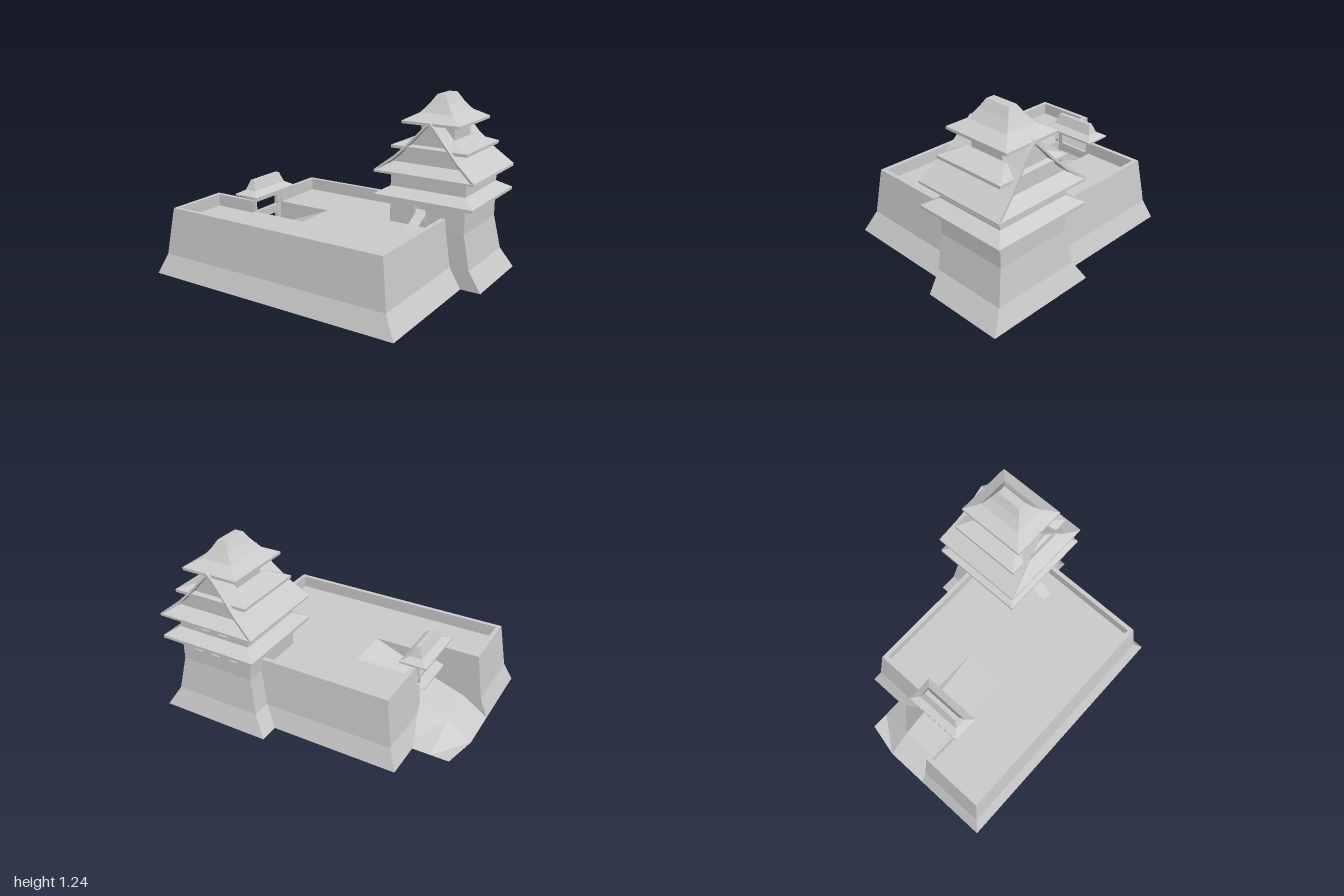
import * as THREE from 'three';

const material = new THREE.MeshStandardMaterial({ color: 0xcccccc, flatShading: true, side: THREE.DoubleSide });

function add(parent, name, geometry) {
  const mesh = new THREE.Mesh(geometry, material);
  mesh.name = name;
  parent.add(mesh);
  return mesh;
}

// Skin a surface across rows of [x, y, z] points
function loft(rows) {
  const n = rows[0].length, index = [];
  for (let r = 0; r < rows.length - 1; r++) {
    for (let i = 0; i < n - 1; i++) {
      const a = r * n + i, b = a + 1, c = a + n, d = c + 1;
      index.push(a, b, d, a, d, c);
    }
  }
  const g = new THREE.BufferGeometry();
  g.setAttribute('position', new THREE.Float32BufferAttribute(rows.flat(2), 3));
  g.setIndex(index);
  g.computeVertexNormals();
  return g;
}

// Stacked rectangles [halfX, halfZ, y, shiftZ] around a centre
function tiers(levels, cx, cz) {
  return loft(levels.map(([hx, hz, y, dz = 0]) =>
    [[1, 1], [1, -1], [-1, -1], [-1, 1], [1, 1]].map(([sx, sz]) => [cx + sx * hx, y, cz + dz + sz * hz])));
}

function box(parent, name, x0, x1, y0, y1, z0, z1) {
  const g = new THREE.BoxGeometry(x1 - x0, y1 - y0, z1 - z0);
  return add(parent, name, g.translate((x0 + x1) / 2, (y0 + y1) / 2, (z0 + z1) / 2));
}

function rectPath(path, x0, x1, y0, y1) {
  path.moveTo(x0, y0);
  path.lineTo(x1, y0);
  path.lineTo(x1, y1);
  path.lineTo(x0, y1);
  path.closePath();
  return path;
}

// Wall facing z with rectangular openings [x0, x1, y0, y1]
function piercedWall(parent, name, x0, x1, y0, y1, z, thick, openings) {
  const shape = rectPath(new THREE.Shape(), x0, x1, y0, y1);
  openings.forEach(o => shape.holes.push(rectPath(new THREE.Path(), ...o)));
  const g = new THREE.ExtrudeGeometry(shape, { depth: thick, bevelEnabled: false });
  add(parent, name, g.translate(0, 0, z));
}

function buildRampart(root) {
  const g = new THREE.Group();
  g.name = 'rampart';
  root.add(g);
  const at = (y, pts) => pts.map(([x, z]) => [x, y, z]);
  const inner = [[-0.56, 0.23], [-0.87, 0.23], [-0.87, 0.62], [0.705, 0.62], [0.705, -0.49], [-0.56, -0.49], [-0.56, -0.1]];
  // Battered stone wall, parapet top and parapet inside
  add(g, 'stoneWall', loft([
    at(0, [[-0.56, 0.2], [-1, 0.2], [-1, 0.735], [0.86, 0.735], [0.86, -0.6], [-0.69, -0.6], [-0.69, -0.1]]),
    at(0.14, [[-0.56, 0.2], [-0.945, 0.2], [-0.945, 0.685], [0.78, 0.685], [0.78, -0.555], [-0.635, -0.555], [-0.635, -0.1]]),
    at(0.465, [[-0.56, 0.2], [-0.9, 0.2], [-0.9, 0.65], [0.735, 0.65], [0.735, -0.52], [-0.59, -0.52], [-0.59, -0.1]]),
    at(0.465, inner),
    at(0.38, inner),
  ]));
  // Courtyard floor, notched for the ramp
  const floor = [[-0.56, 0.2], ...inner, [-0.15, -0.1], [-0.15, 0.2]];
  const shape = new THREE.Shape(floor.map(([x, z]) => new THREE.Vector2(x, -z)));
  add(g, 'courtyard', new THREE.ShapeGeometry(shape).rotateX(-Math.PI / 2).translate(0, 0.38, 0));

  // Entrance ramp with a flared side
  const slope = [[-1, 0], [-0.83, 0.12], [-0.6, 0.2], [-0.15, 0.38]];
  const row = z => slope.map(([x, y]) => [x, y, z]);
  add(g, 'ramp', loft([row(0.2), row(-0.1)]));
  add(g, 'rampFlare', loft([row(-0.1).slice(0, 3), at(0, [[-0.945, -0.34], [-0.82, -0.34], [-0.62, -0.34]])]));
  for (const z of [0.2, -0.1]) {
    add(g, 'rampSideWall', loft([
      [[-0.62, 0.19, z], [-0.15, 0.38, z]],
      [[-0.62, 0.38, z], [-0.15, 0.38, z]],
    ]));
  }
}

function buildGate(root) {
  const g = new THREE.Group();
  g.name = 'gate';
  root.add(g);
  const cx = -0.585, cz = 0.055;
  for (const z of [-0.1, 0.17]) box(g, 'gatePost', cx - 0.015, cx + 0.015, 0.17, 0.5, z, z + 0.035);
  box(g, 'gateLintel', cx - 0.012, cx + 0.012, 0.44, 0.5, -0.11, 0.22);
  box(g, 'gateBeam', cx - 0.012, cx + 0.012, 0.31, 0.37, -0.1, 0.2);
  // Small pent roof over the doorway
  add(g, 'pentRoof', loft([[-0.12, 0.2], [0.22, 0.2]].map(([z]) => [
    [-0.57, 0.31, z], [-0.66, 0.31, z], [-0.66, 0.322, z], [-0.57, 0.355, z], [-0.57, 0.31, z]])));
  add(g, 'gateRoof', tiers([[0, 0, 0.495], [0.095, 0.215, 0.495], [0.095, 0.215, 0.507],
    [0.042, 0.165, 0.535], [0.015, 0.14, 0.605], [0, 0, 0.605]], cx, cz));
}

function buildKeep(root) {
  const g = new THREE.Group();
  g.name = 'keep';
  root.add(g);
  const cx = 0.6, cz = -0.4;

  // Flared stone base, nearly upright toward the courtyard
  add(g, 'keepBase', tiers([[0.4, 0.29, 0, -0.045], [0.315, 0.268, 0.14, -0.018],
    [0.27, 0.255, 0.38], [0, 0, 0.38]], cx, cz));

  // Two hollow storeys with door and rear windows
  const t = 0.02, back = cz - 0.255, front = cz + 0.255 - t;
  const windows = (xs, y0, y1) => xs.map(x => [x - 0.033, x + 0.033, y0, y1]);
  const storey = (y0, y1, frontHoles, backHoles) => {
    piercedWall(g, 'frontWall', 0.33, 0.87, y0, y1, front, t, frontHoles);
    piercedWall(g, 'backWall', 0.33, 0.87, y0, y1, back, t, backHoles);
    for (const x of [0.33, 0.87 - t]) box(g, 'sideWall', x, x + t, y0, y1, back + t, front);
  };
  storey(0.38, 0.58, [[0.513, 0.595, 0.4, 0.525]], windows([0.46, 0.6, 0.74], 0.48, 0.53));
  storey(0.62, 0.75, [], windows([0.53, 0.67], 0.655, 0.705));

  // Steps up to the door
  add(g, 'doorRamp', loft([0.515, 0.592].map(x => [
    [x, 0.38, 0.01], [x, 0.46, -0.145], [x, 0.38, -0.145], [x, 0.38, 0.01]])));

  // Skirt roofs
  add(g, 'firstEave', tiers([[0.25, 0.235, 0.56], [0.355, 0.338, 0.56], [0.355, 0.338, 0.58], [0.27, 0.255, 0.63], [0, 0, 0.63]], cx, cz));
  add(g, 'secondEave', tiers([[0.25, 0.235, 0.73], [0.355, 0.338, 0.73], [0.355, 0.338, 0.745], [0.25, 0.25, 0.8]], cx, cz));

  // Curved gable roof running front to back: [halfX, y, halfZ]
  const half = [[0.355, 0.748, 0.338], [0.22, 0.855, 0.305], [0.12, 0.955, 0.28], [0.05, 1.035, 0.27]];
  const profile = [...half.map(([x, y, z]) => [-x, y, z]), [0, 1.085, 0.265], ...half.slice().reverse()];
  const edge = (side, drop) => profile.map(([x, y, z]) => [cx + x, y - drop, cz + side * z]);
  add(g, 'gableRoof', loft([edge(1, 0), edge(-1, 0), edge(-1, 0.02), edge(1, 0.02), edge(1, 0)]));
  const gable = new THREE.Shape(profile.map(([x, y]) => new THREE.Vector2(x, y - 0.015)));
  add(g, 'gableWall', new THREE.ExtrudeGeometry(gable, { depth: 0.47, bevelEnabled: false }).translate(cx, 0, cz - 0.235));

  // Upper storeys and roofs
  box(g, 'thirdStorey', cx - 0.2, cx + 0.2, 0.78, 0.9, cz - 0.18, cz + 0.18);
  add(g, 'thirdEave', tiers([[0.15, 0.15, 0.89], [0.27, 0.262, 0.89], [0.27, 0.262, 0.91], [0.13, 0.16, 0.957], [0, 0, 0.957]], cx, cz));
  box(g, 'topStorey', cx - 0.12, cx + 0.12, 0.94, 1.07, cz - 0.125, cz + 0.125);
  add(g, 'topRoof', tiers([[0, 0, 1.057], [0.205, 0.247, 1.057], [0.205, 0.247, 1.075], [0.115, 0.16, 1.125],
    [0.065, 0.122, 1.185], [0.03, 0.09, 1.242], [0, 0, 1.242]], cx, cz));
}

export function createModel() {
  const root = new THREE.Group();
  root.name = 'castle';
  buildRampart(root);
  buildGate(root);
  buildKeep(root);
  return root;
}
